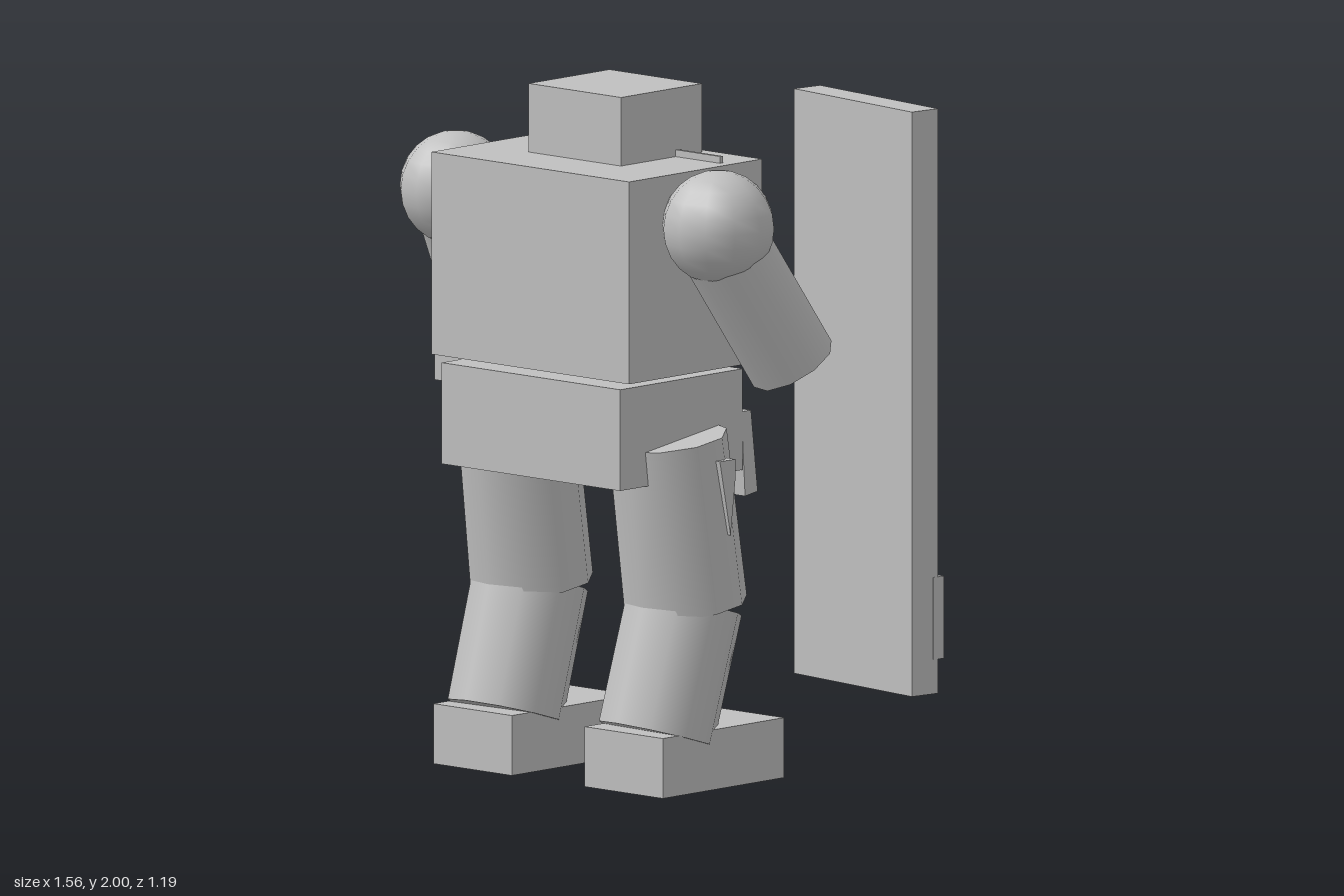
import * as THREE from 'three';

const grey = new THREE.MeshStandardMaterial({ color: 0xc0c0c0 });
grey.name = 'plain grey';

export function createModel() {
  const model = new THREE.Group();
  model.name = 'armouredTrooper';

  const add = (name, geometry) => {
    const mesh = new THREE.Mesh(geometry, grey);
    mesh.name = name;
    model.add(mesh);
    return mesh;
  };
  // box given by its limits on each axis
  const box = (name, [x0, x1], [y0, y1], [z0, z1]) => {
    const mesh = add(name, new THREE.BoxGeometry(x1 - x0, y1 - y0, z1 - z0));
    mesh.position.set((x0 + x1) / 2, (y0 + y1) / 2, (z0 + z1) / 2);
    return mesh;
  };
  // ten-sided limb between two points
  const limb = (name, from, to, rTop, rBottom) => {
    const a = new THREE.Vector3(...from), b = new THREE.Vector3(...to);
    const mesh = add(name, new THREE.CylinderGeometry(rTop, rBottom, a.distanceTo(b), 10));
    mesh.position.copy(a).add(b).multiplyScalar(0.5);
    mesh.quaternion.setFromUnitVectors(new THREE.Vector3(0, 1, 0), a.sub(b).normalize());
    return mesh;
  };
  // slab along x from a (z, y) cross-section
  const prism = (name, x0, x1, points) => {
    const shape = new THREE.Shape(points.map(([z, y]) => new THREE.Vector2(-z, y)));
    const mesh = add(name, new THREE.ExtrudeGeometry(shape, { depth: x1 - x0, bevelEnabled: false }));
    mesh.rotation.y = Math.PI / 2;
    mesh.position.x = x0;
    return mesh;
  };

  // body
  box('head', [-0.245, 0.12], [1.8, 2], [0.065, 0.405]);
  box('torso', [-0.45, 0.33], [1.21, 1.8], [0.035, 0.595]);
  box('pelvis', [-0.41, 0.295], [0.895, 1.19], [0.08, 0.595]);
  box('collarBar', [-0.415, 0.295], [1.77, 1.82], [0.163, 0.175]);
  prism('backFlap', -0.415, 0.295, [[0.05, 1.53], [0.05, 1.33], [-0.045, 1.325]]);
  prism('skirtFlap', -0.41, 0.295, [[0.085, 1.065], [0.045, 1.065], [0.017, 0.825], [0.07, 0.817]]);

  // arms
  for (const [side, x, handX, handZ] of [['left', 0.46, 0.53, 0.12], ['right', -0.577, -0.615, 0.145]]) {
    add(side + 'Shoulder', new THREE.SphereGeometry(0.165, 12, 12)).position.set(x, 1.655, 0.358);
    limb(side + 'Arm', [x, 1.6, 0.335], [handX, 1.235, handZ], 0.13, 0.13);
  }

  // legs
  for (const [side, x, out] of [['left', 0.238, 1], ['right', -0.358, -1]]) {
    limb(side + 'Thigh', [x, 1.015, 0.335], [x + 0.006 * out, 0.52, 0.265], 0.174, 0.18);
    limb(side + 'Shin', [x + 0.006 * out, 0.525, 0.27], [x, 0.155, 0.383], 0.172, 0.172);
    box(side + 'Foot', [x - 0.155, x + 0.155], [0, 0.175], [0.01, 0.52]);
    const outer = x + 0.183 * out;
    prism(side + 'HipPlate', Math.min(outer, outer - 0.1 * out), Math.max(outer, outer - 0.1 * out),
      [[0.31, 0.96], [0.245, 0.96], [0.245, 0.9], [0.265, 0.74]].reverse());
  }

  // gun arm pointing backwards
  box('gunBody', [-0.78, -0.515], [1.055, 1.32], [-0.205, 0.23]);
  limb('gunBarrel', [-0.647, 1.186, -0.18], [-0.647, 1.186, -0.54], 0.109, 0.109);
  const profile = [[0, 0], [0.122, 0], [0.122, 0], [0.132, 0.012], [0.132, 0.063], [0.122, 0.075], [0.122, 0.075], [0, 0.075]]
    .map(([r, y]) => new THREE.Vector2(r, y));
  const muzzle = add('gunMuzzle', new THREE.LatheGeometry(profile, 10, Math.PI / 2));
  muzzle.rotation.x = Math.PI / 2;
  muzzle.position.set(-0.647, 1.186, -0.595);

  // shield, turned slightly
  const turn = -0.134;
  const shield = add('shieldBoard', new THREE.BoxGeometry(0.537, 1.705, 0.097));
  shield.position.set(0.502, 1.1125, -0.218);
  shield.rotation.y = turn;
  const plate = add('shieldLowerPlate', new THREE.BoxGeometry(0.537, 0.24, 0.04));
  plate.position.set(0.51, 0.48, -0.268);
  plate.rotation.y = turn;
  box('shieldHandle', [0.355, 0.645], [1.69, 1.76], [-0.31, -0.245]);

  return model;
}
